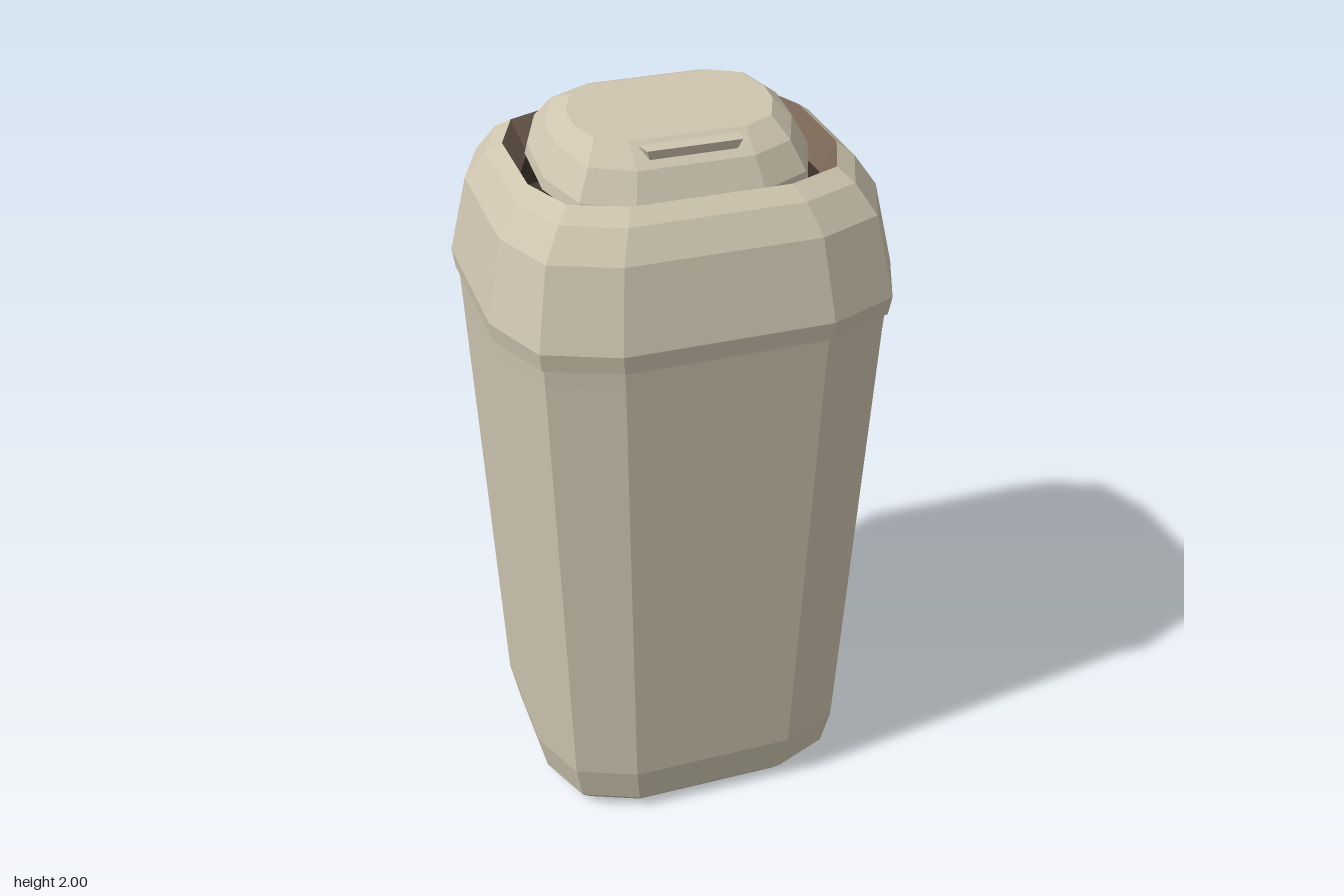
import * as THREE from 'three';

// Twelve-point rounded rectangle: half width, half depth, corner radius
function ring([y, hx, hz, r]) {
  const pts = [];
  for (let q = 0; q < 4; q++) {
    const sx = q === 0 || q === 3 ? 1 : -1;
    const sz = q < 2 ? -1 : 1;
    for (let k = 0; k < 3; k++) {
      const a = (q + k / 2) * Math.PI / 2;
      pts.push(new THREE.Vector3(
        sx * (hx - r) + r * Math.cos(a), y, sz * (hz - r) - r * Math.sin(a)));
    }
  }
  return pts;
}

// Faceted skin through a list of rings, with optional flat caps
function loft(profile, capStart = false, capEnd = false) {
  const rings = profile.map(ring);
  const pos = [];
  const tri = (...vs) => vs.forEach((v) => pos.push(v.x, v.y, v.z));
  const n = rings[0].length;
  for (let j = 0; j < rings.length - 1; j++) {
    const a = rings[j], b = rings[j + 1];
    for (let i = 0; i < n; i++) {
      const k = (i + 1) % n;
      tri(a[i], a[k], b[k]);
      tri(a[i], b[k], b[i]);
    }
  }
  const first = rings[0], last = rings[rings.length - 1];
  for (let i = 1; i < n - 1; i++) {
    if (capStart) tri(first[0], first[i + 1], first[i]);
    if (capEnd) tri(last[0], last[i], last[i + 1]);
  }
  const g = new THREE.BufferGeometry();
  g.setAttribute('position', new THREE.Float32BufferAttribute(pos, 3));
  g.computeVertexNormals();
  return g;
}

export function createModel() {
  const mat = (name, color) => {
    const m = new THREE.MeshStandardMaterial({ color });
    m.name = name;
    m.flatShading = true;
    return m;
  };
  const beige = mat('beigePlastic', 0xcec5af);
  const brown = mat('brownInner', 0x7d6959);
  const dark = mat('darkGap', 0x40372e);

  const model = new THREE.Group();
  model.name = 'trashBin';
  const add = (parent, name, geometry, material) => {
    const mesh = new THREE.Mesh(geometry, material);
    mesh.name = name;
    parent.add(mesh);
    return mesh;
  };

  // Tapered bin body
  add(model, 'body', loft([
    [0, 0.395, 0.345, 0.19],
    [0.04, 0.43, 0.38, 0.215],
    [0.15, 0.453, 0.4, 0.225],
    [1.46, 0.515, 0.455, 0.255],
    [1.515, 0.518, 0.458, 0.255],
  ], true), beige);

  // Domed lid with an overhanging lower edge
  add(model, 'lid', loft([
    [1.51, 0.51, 0.45, 0.25],
    [1.51, 0.525, 0.466, 0.26],
    [1.56, 0.532, 0.473, 0.262],
    [1.77, 0.49, 0.422, 0.24],
    [1.845, 0.438, 0.372, 0.215],
    [1.875, 0.4, 0.325, 0.197],
  ]), beige);

  // Sloping inside of the opening and the shaft below it
  add(model, 'openingRim', loft([
    [1.875, 0.4, 0.325, 0.197],
    [1.79, 0.364, 0.288, 0.18],
  ]), brown);
  add(model, 'openingShaft', loft([
    [1.79, 0.364, 0.288, 0.18],
    [1.7, 0.364, 0.288, 0.18],
  ], false, true), dark);

  // Swing flap, tipped towards the front
  const flap = new THREE.Group();
  flap.name = 'flap';
  flap.position.set(0, 1.84, -0.015);
  flap.rotation.x = 0.15;
  model.add(flap);
  add(flap, 'flapTop', loft([
    [0, 0.35, 0.27, 0.185],
    [0.03, 0.345, 0.262, 0.18],
    [0.1, 0.305, 0.212, 0.155],
    [0.14, 0.26, 0.14, 0.11],
  ], false, true), beige);
  add(flap, 'flapUnderside', loft([
    [-0.035, 0.335, 0.255, 0.175],
    [0, 0.35, 0.27, 0.185],
  ], true), dark);

  // Small finger lip on the flap, narrower towards its front and underside
  const lip = new THREE.BoxGeometry(0.27, 0.028, 0.055);
  const p = lip.attributes.position;
  for (let i = 0; i < p.count; i++) {
    if (p.getZ(i) > 0) p.setX(i, p.getX(i) * 0.9);
    if (p.getY(i) < 0) {
      p.setX(i, p.getX(i) * 0.92);
      if (p.getZ(i) > 0) p.setZ(i, 0.018);
    }
  }
  lip.computeVertexNormals();
  add(model, 'fingerLip', lip, beige).position.set(0, 1.935, 0.171);

  return model;
}
